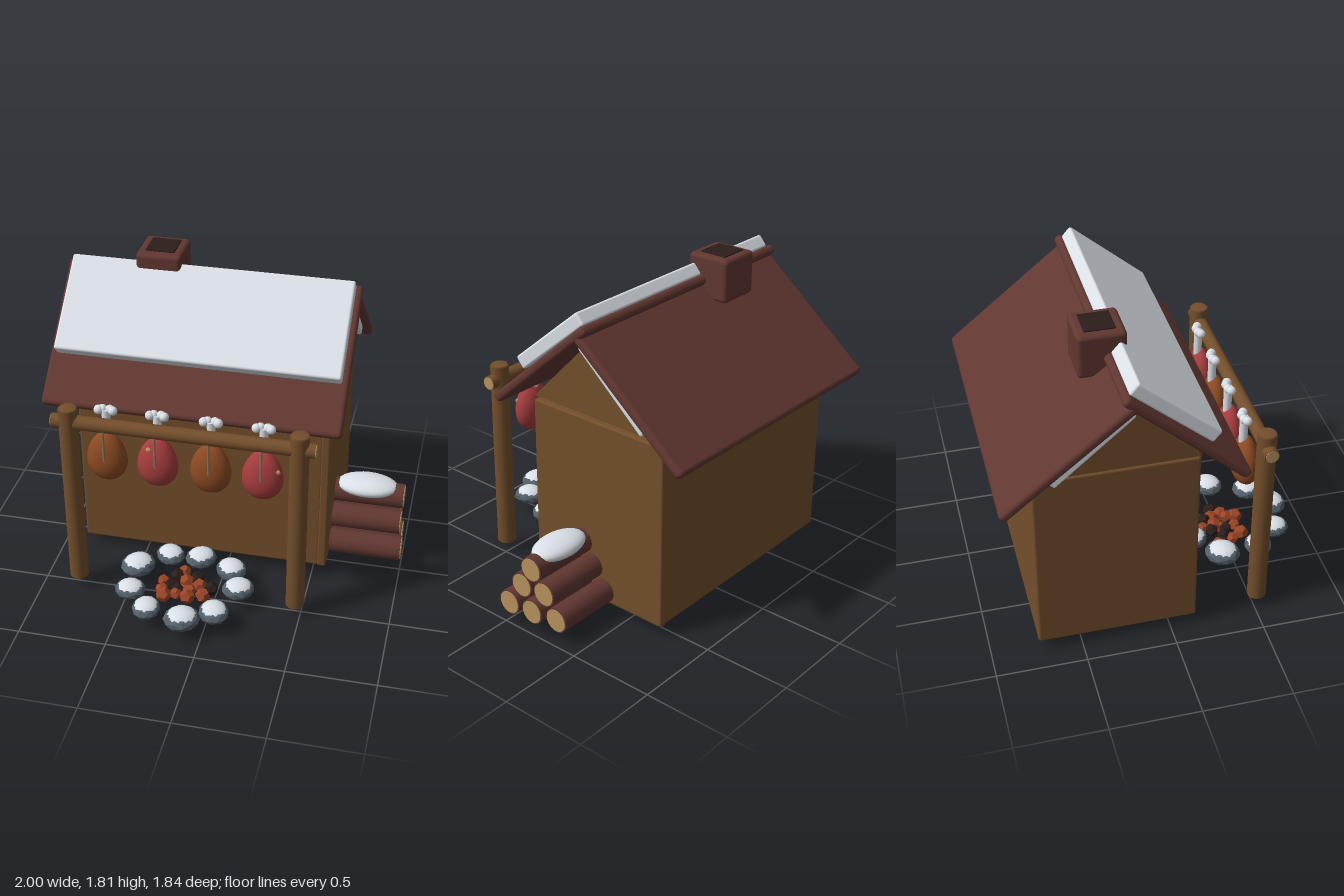
import * as THREE from 'three';
import { RoundedBoxGeometry } from 'three/addons/geometries/RoundedBoxGeometry.js';

const mat = (name, color, extra = {}) => {
  const m = new THREE.MeshStandardMaterial({ color, ...extra });
  m.name = name;
  return m;
};

export function createModel() {
  const root = new THREE.Group();
  const M = {
    wood: mat('wood', 0x734e2b),
    bark: mat('dark red wood', 0x613731),
    snow: mat('snow', 0xdde3ea),
    cut: mat('cut wood', 0xb8935e),
    red: mat('red meat', 0xa63d3d),
    brown: mat('smoked meat', 0x8c4a22),
    stone: mat('stone', 0x55606a, { flatShading: true }),
    ember: mat('ember', 0x9c4526, { flatShading: true }),
    coal: mat('charcoal', 0x2b1d1a, { flatShading: true }),
    rope: mat('rope', 0x857a62),
  };

  const add = (name, geo, material, x = 0, y = 0, z = 0, parent = root) => {
    const mesh = new THREE.Mesh(geo, material);
    mesh.name = name;
    mesh.position.set(x, y, z);
    parent.add(mesh);
    return mesh;
  };
  // rounded box given by its limits
  const block = (name, material, x0, x1, y0, y1, z0, z1, r = 0.015) =>
    add(name, new RoundedBoxGeometry(x1 - x0, y1 - y0, z1 - z0, 2, r), material,
      (x0 + x1) / 2, (y0 + y1) / 2, (z0 + z1) / 2);
  // sloping board whose centre line runs from (z0, y0) to (z1, y1)
  const slab = (name, material, x0, x1, [z0, y0], [z1, y1], t, r) => {
    const len = Math.hypot(z1 - z0, y1 - y0);
    const mesh = add(name, new RoundedBoxGeometry(x1 - x0, t, len, 3, r), material,
      (x0 + x1) / 2, (y0 + y1) / 2, (z0 + z1) / 2);
    mesh.rotation.x = Math.atan2(-(y1 - y0), z1 - z0);
    return mesh;
  };
  // round pole along x with pale cut ends
  const pole = (name, material, x0, x1, y, z, r) => {
    const g = new THREE.Group();
    g.name = name;
    g.position.set((x0 + x1) / 2, y, z);
    const len = x1 - x0;
    add(name + 'Side', new THREE.CylinderGeometry(r, r, len, 20), material, 0, 0, 0, g).rotation.z = Math.PI / 2;
    add(name + 'Ends', new THREE.CylinderGeometry(r * 0.9, r * 0.9, len + 0.008, 20), M.cut, 0, 0, 0, g).rotation.z = Math.PI / 2;
    root.add(g);
  };

  // walls
  block('house', M.wood, -0.87, 0.54, 0.06, 1.17, -0.74, 0.145);
  block('sideWall', M.wood, 0.53, 0.58, 0.06, 1.14, -0.744, 0.15, 0.012);
  const gable = new THREE.Shape([
    new THREE.Vector2(-0.14, 1.165), new THREE.Vector2(0.735, 1.165), new THREE.Vector2(0.25, 1.575),
  ]);
  add('gable', new THREE.ExtrudeGeometry(gable, { depth: 1.44, bevelEnabled: false }), M.wood, -0.86)
    .rotation.y = Math.PI / 2;

  // roof boards with snow
  slab('frontRoof', M.bark, -1, 0.665, [0.365, 1.1], [-0.285, 1.677], 0.056, 0.024);
  slab('backRoof', M.bark, -1, 0.665, [-0.915, 1.064], [-0.225, 1.628], 0.056, 0.024);
  slab('frontSnow', M.snow, -0.96, 0.63, [0.2, 1.35], [-0.235, 1.718], 0.08, 0.014);
  slab('backSnow', M.snow, -0.96, 0.63, [-0.655, 1.205], [-0.235, 1.573], 0.06, 0.014);

  // chimney
  block('chimney', M.bark, -0.59, -0.335, 1.55, 1.8, -0.43, -0.17, 0.025);
  block('chimneyOpening', M.coal, -0.545, -0.38, 1.795, 1.807, -0.385, -0.22, 0.004);

  // drying rack
  for (const x of [-0.795, 0.468])
    add('rackPost', new THREE.LatheGeometry([[0, 0], [0.045, 0], [0.053, 0.01], [0.053, 1.13], [0.045, 1.14], [0, 1.14]]
      .map(p => new THREE.Vector2(...p)), 20), M.wood, x, 0.06, 0.52);
  pole('rackBar', M.wood, -0.885, 0.555, 1.11, 0.52, 0.04);

  // hanging hams with bone and string
  const egg = [];
  for (let i = 0; i <= 20; i++) {
    const a = Math.PI * i / 20;
    egg.push(new THREE.Vector2(0.112 * Math.sin(a) * (1 + 0.16 * Math.cos(a)), -0.152 * Math.cos(a)));
  }
  const hamGeo = new THREE.LatheGeometry(egg, 28).scale(1, 1, 0.68);
  [-0.6, -0.315, -0.02, 0.265].forEach((x, i) => {
    const g = new THREE.Group();
    g.name = 'hangingHam';
    g.position.set(x, 0, 0.475);
    add('ham', hamGeo, i % 2 ? M.red : M.brown, 0, 0.892, 0, g);
    add('bone', new THREE.CylinderGeometry(0.024, 0.024, 0.18, 12), M.snow, 0, 1.085, -0.018, g);
    for (const s of [-1, 1])
      for (const d of [0, 1])
        add('boneKnob', new THREE.SphereGeometry(0.026, 12, 8), M.snow, s * (0.02 + 0.02 * d), 1.172, -0.025 + 0.012 * d, g);
    add('string', new THREE.CylinderGeometry(0.007, 0.007, 0.2, 8), M.rope, 0.003, 0.985, 0.07, g);
    root.add(g);
  });
  // fat marks on the red hams
  for (const [x, y, z] of [[-0.35, 0.985, 0.515], [0.348, 0.935, 0.505]])
    add('fatMark', new THREE.SphereGeometry(0.02, 10, 6).scale(1, 0.8, 0.6), M.cut, x, y, z);

  // log pile
  [[-0.03, 0.13, 1], [-0.187, 0.13, 0.99], [-0.34, 0.13, 0.965], [-0.108, 0.262, 0.98], [-0.26, 0.262, 0.97], [-0.185, 0.392, 0.985]]
    .forEach(([z, y, x1]) => pole('log', M.bark, 0.56, x1 - 0.004, y, z, 0.072));
  add('logSnow', new THREE.SphereGeometry(1, 24, 14).scale(0.18, 0.055, 0.108), M.snow, 0.765, 0.443, -0.185);

  // ring of snow-capped stones
  const stones = [[-0.455, 0.64, 0.085], [-0.325, 0.78, 0.085], [-0.11, 0.825, 0.1], [0.05, 0.735, 0.09], [0.14, 0.51, 0.09],
    [0.065, 0.35, 0.092], [-0.13, 0.28, 0.09], [-0.31, 0.29, 0.085], [-0.47, 0.42, 0.1]];
  stones.forEach(([x, z, r], i) => {
    const g = new THREE.Group();
    g.name = 'fireStone';
    g.position.set(x, 0.11, z);
    g.rotation.y = i * 1.7;
    add('stone', new THREE.IcosahedronGeometry(r, 1).scale(1.05, 0.56, 0.95), M.stone, 0, 0, 0, g);
    add('stoneSnow', new THREE.SphereGeometry(r * 0.93, 14, 6, 0, Math.PI * 2, 0, 1.35).scale(1, 0.6, 0.92), M.snow, 0, 0.004, 0, g);
    root.add(g);
  });

  // embers and charcoal heaped in a spiral
  for (let i = 0; i < 16; i++) {
    const a = i * 2.4, d = 0.042 * Math.sqrt(i);
    const m = add('ember', new THREE.DodecahedronGeometry(0.036 + 0.004 * (i % 3), 0), i % 3 === 1 ? M.coal : M.ember,
      -0.18 + d * Math.cos(a) * 1.05, 0.04 + 0.012 * (i % 4), 0.5 + d * Math.sin(a) * 0.75);
    m.rotation.set(i, i * 2, 0);
  }
  return root;
}
